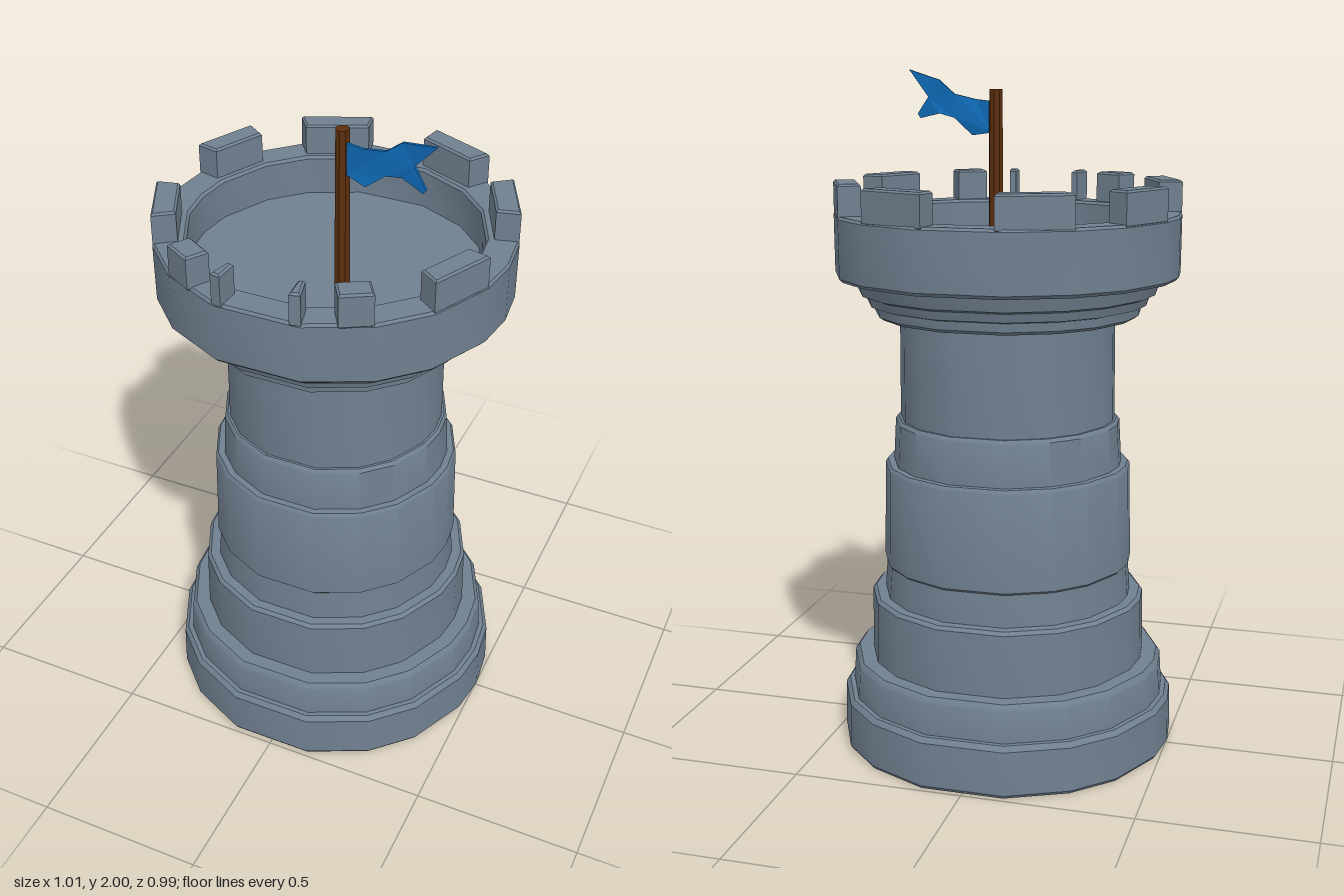
import * as THREE from 'three';
import { toCreasedNormals } from 'three/addons/utils/BufferGeometryUtils.js';

const rad = THREE.MathUtils.degToRad;

function material(name, color, side = THREE.FrontSide) {
  const m = new THREE.MeshStandardMaterial({ color, side });
  m.name = name;
  return m;
}

function addMesh(parent, name, geometry, mat) {
  const mesh = new THREE.Mesh(geometry, mat);
  mesh.name = name;
  parent.add(mesh);
  return mesh;
}

// Uneven facet angles round the tower, measured from +z towards +x
const RING = [-14, 14, 36, 54, 76, 90, 104, 126, 144, 166, 194, 216, 234, 256, 270, 284, 306, 324, 346];

// Lathe whose segments follow the facet angles
function facetedLathe(profile) {
  const points = profile.map(([r, y]) => new THREE.Vector2(r, y));
  const geo = new THREE.LatheGeometry(points, RING.length - 1);
  const pos = geo.attributes.position;
  RING.forEach((deg, i) => {
    const a = rad(deg % 360 === 346 ? -14 : deg);
    points.forEach((p, j) => pos.setXYZ(i * points.length + j, p.x * Math.sin(a), p.y, p.x * Math.cos(a)));
  });
  return toCreasedNormals(geo, rad(35));
}

// Block standing on the rim between two angles
function merlonGeometry(from, to, inFrom = from, inTo = to) {
  const corner = (r, deg) => new THREE.Vector2(r * Math.sin(rad(deg)), -r * Math.cos(rad(deg)));
  const shape = new THREE.Shape([
    corner(0.505, from), corner(0.505, to), corner(0.437, inTo), corner(0.437, inFrom),
  ]);
  const b = 0.006;
  const geo = new THREE.ExtrudeGeometry(shape, {
    depth: 0.1 - 2 * b, bevelThickness: b, bevelSize: b, bevelOffset: -b, bevelSegments: 1,
  });
  geo.rotateX(-Math.PI / 2);
  geo.translate(0, 1.59 + b, 0);
  return geo;
}

export function createModel() {
  const model = new THREE.Group();
  model.name = 'tower';
  const stone = material('stone grey', 0x708090);
  const wood = material('dark wood', 0x5c2e0e);
  const cloth = material('blue cloth', 0x1070c0, THREE.DoubleSide);

  // Stepped base and shaft
  addMesh(model, 'shaft', facetedLathe([
    [0, 0], [0.498, 0], [0.505, 0.01], [0.502, 0.14], [0.49, 0.155],
    [0.476, 0.155], [0.47, 0.25], [0.458, 0.265],
    [0.415, 0.265], [0.412, 0.45], [0.402, 0.46],
    [0.373, 0.46], [0.366, 0.555], [0.373, 0.562], [0.367, 0.85], [0.36, 0.86],
    [0.341, 0.86], [0.334, 0.985], [0.326, 0.995],
    [0.319, 0.995], [0.317, 1.3],
  ]), stone);

  // Flared collar, rim wall and sunken roof floor
  addMesh(model, 'parapet', facetedLathe([
    [0.315, 1.295], [0.375, 1.3], [0.39, 1.31], [0.393, 1.335],
    [0.412, 1.34], [0.42, 1.365], [0.438, 1.372], [0.45, 1.412],
    [0.495, 1.415], [0.505, 1.425], [0.506, 1.592], [0.5, 1.6],
    [0.422, 1.6], [0.415, 1.592], [0.415, 1.48], [0, 1.48],
  ]), stone);

  // Battlements: six whole merlons, and two broken ones at the front
  const merlons = new THREE.Group();
  merlons.name = 'merlons';
  model.add(merlons);
  for (const s of [1, -1]) {
    for (const [from, to] of [[54, 76], [104, 126], [144, 168.5]]) {
      addMesh(merlons, 'merlon', merlonGeometry(s * from, s * to), stone);
    }
    addMesh(merlons, 'brokenMerlon', merlonGeometry(s * 25, s * 35.5, s * 24, s * 36), stone);
    addMesh(merlons, 'merlonShard', merlonGeometry(s * 11, s * 14.5, s * 12, s * 14.5), stone);
  }

  // Flagpole
  const pole = addMesh(model, 'flagpole',
    toCreasedNormals(new THREE.CylinderGeometry(0.02, 0.023, 0.47, 8), rad(30)), wood);
  pole.position.set(0.06, 1.71, 0.09);

  // Torn flag, swept towards the front and slightly rippled
  const outline = [
    [0.07, 1.91], [0.13, 1.915], [0.2, 1.93], [0.25, 1.97], [0.36, 2.0], [0.29, 1.92],
    [0.33, 1.87], [0.32, 1.857], [0.25, 1.872], [0.2, 1.86], [0.14, 1.81], [0.07, 1.82],
  ];
  const flagShape = new THREE.Shape(outline.map(([x, y]) => new THREE.Vector2(x, y)));
  const flagGeo = new THREE.ExtrudeGeometry(flagShape, { depth: 0.008, bevelEnabled: false });
  const pos = flagGeo.attributes.position;
  for (let i = 0; i < pos.count; i++) {
    const d = pos.getX(i) - 0.06;
    pos.setZ(i, pos.getZ(i) + 0.086 + d * 0.32 + 0.006 * Math.sin(d * 25));
  }
  flagGeo.computeVertexNormals();
  addMesh(model, 'flag', flagGeo, cloth);

  return model;
}
